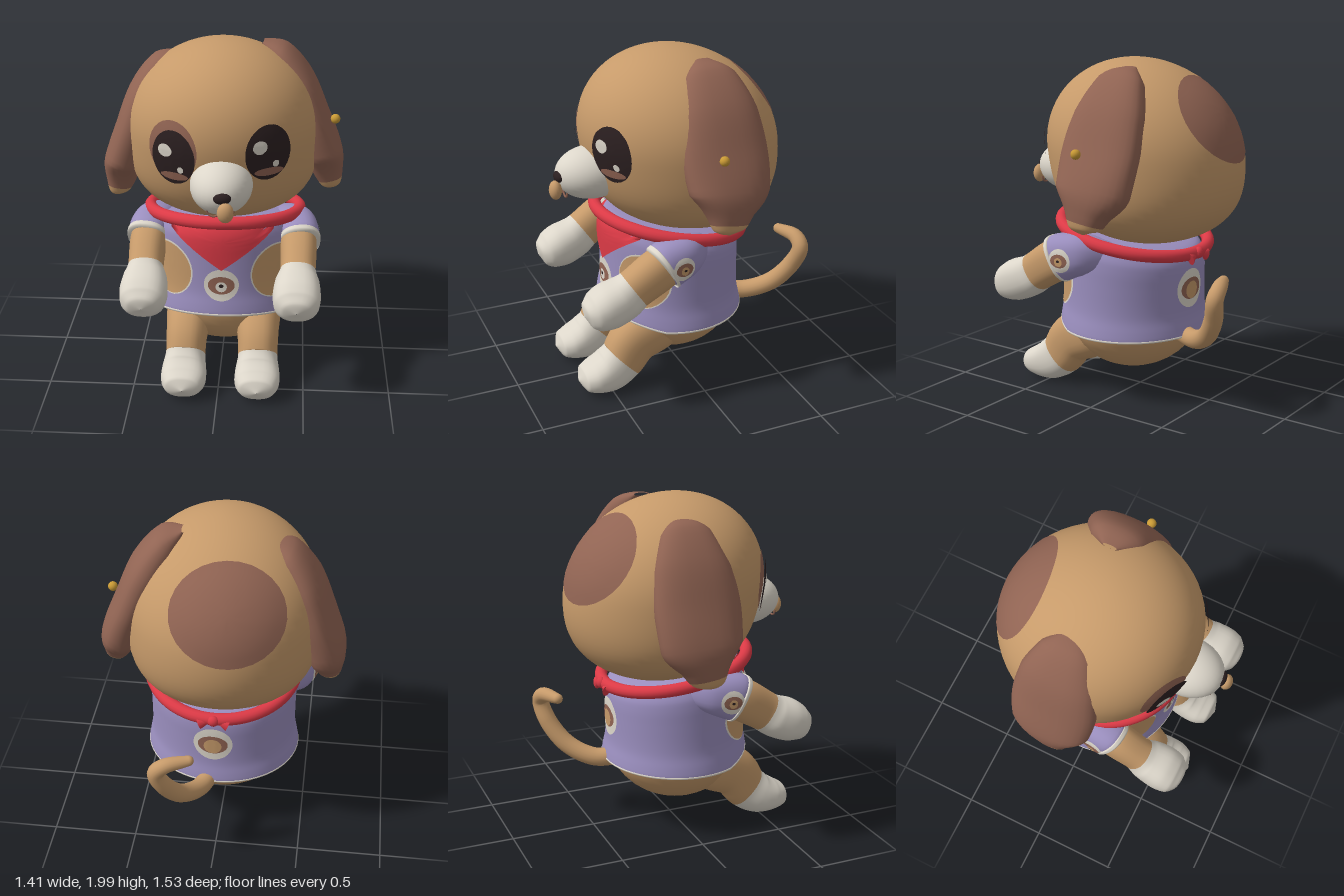
import * as THREE from 'three';
import { mergeVertices } from 'three/addons/utils/BufferGeometryUtils.js';

const V = (x, y, z) => new THREE.Vector3(x, y, z);

export function createModel() {
  const root = new THREE.Group();
  root.name = 'plushPuppy';
  const paint = (name, color) => {
    const m = new THREE.MeshStandardMaterial({ color });
    m.name = name;
    return m;
  };
  const tan = paint('tan fur', 0xc69a6a);
  const brown = paint('brown fur', 0x916453);
  const white = paint('off white', 0xdcd6ca);
  const purple = paint('lilac cloth', 0x9b8fbf);
  const red = paint('red cloth', 0xdc3a46);
  const dark = paint('dark brown', 0x2c2021);
  const gold = paint('gold', 0xc99a35);

  const add = (name, geometry, material) => {
    const mesh = new THREE.Mesh(geometry, material);
    mesh.name = name;
    root.add(mesh);
    return mesh;
  };

  const ellipsoid = (c, r, w = 32, h = 24) =>
    new THREE.SphereGeometry(1, w, h).scale(...r).translate(...c);

  // Moves every vertex by a rule and smooths the result
  const deform = (geometry, rule) => {
    geometry.deleteAttribute('uv');
    geometry.deleteAttribute('normal');
    const g = mergeVertices(geometry, 1e-5);
    const p = g.attributes.position;
    for (let i = 0; i < p.count; i++) {
      const v = V().fromBufferAttribute(p, i);
      rule(v);
      p.setXYZ(i, v.x, v.y, v.z);
    }
    g.computeVertexNormals();
    return g;
  };

  // Skin over rounded sections [x, y, z, half width, half depth]; t0..t1 picks a stretch
  const loft = (rows, side = 1, t0 = 0, t1 = 1, rings = 28, segs = 28) => {
    const path = new THREE.CatmullRomCurve3(rows.map(r => V(r[0] * side, r[1], r[2])));
    const size = new THREE.CatmullRomCurve3(rows.map(r => V(r[3], r[4], 0)));
    const pos = [], idx = [];
    const soft = c => Math.sign(c) * Math.abs(c) ** 0.85;
    for (let i = 0; i <= rings; i++) {
      const t = t0 + (t1 - t0) * i / rings;
      const c = path.getPoint(t), s = size.getPoint(t), T = path.getTangent(t);
      const B = V(1, 0, 0).addScaledVector(T, -T.x).normalize();
      const N = V().crossVectors(T, B);
      for (let j = 0; j < segs; j++) {
        const a = j / segs * Math.PI * 2;
        const p = c.clone().addScaledVector(B, Math.max(s.x, 0.001) * soft(Math.cos(a)))
          .addScaledVector(N, Math.max(s.y, 0.001) * soft(Math.sin(a)));
        pos.push(p.x, p.y, p.z);
        if (i < rings) {
          const q = i * segs + j, r = i * segs + (j + 1) % segs;
          idx.push(q, r, q + segs, r, r + segs, q + segs);
        }
      }
    }
    const g = new THREE.BufferGeometry();
    g.setAttribute('position', new THREE.Float32BufferAttribute(pos, 3));
    g.setIndex(idx);
    g.computeVertexNormals();
    return g;
  };

  // Thin painted patch laid on a target mesh, seen along -n; sides = 3 gives a triangle
  const ray = new THREE.Raycaster();
  const patch = (name, target, c, n, rx, ry, off, material, sides = 0) => {
    const out = V(...n).normalize();
    const right = V(0, 1, 0).cross(out).normalize();
    const up = out.clone().cross(right);
    const rings = 6, segs = 30, pos = [], idx = [];
    let last = V(...c);
    const drop = (u, v) => {
      const from = V(...c).addScaledVector(right, u).addScaledVector(up, v).addScaledVector(out, 2);
      ray.set(from, out.clone().negate());
      const hit = ray.intersectObject(target)[0];
      if (hit) last = hit.point.clone().addScaledVector(hit.face.normal, off);
      pos.push(last.x, last.y, last.z);
    };
    drop(0, 0);
    for (let i = 1; i <= rings; i++) for (let j = 0; j < segs; j++) {
      const a = j / segs * Math.PI * 2, w = Math.PI / sides;
      const k = (sides ? Math.cos(w) / Math.cos(a % (2 * w) - w) : 1) * i / rings;
      drop(rx * k * Math.cos(a - Math.PI / 2), ry * k * Math.sin(a - Math.PI / 2));
      const j2 = (j + 1) % segs, o = 1 + (i - 1) * segs;
      if (i === 1) idx.push(0, 1 + j, 1 + j2);
      else idx.push(o + j - segs, o + j, o + j2, o + j - segs, o + j2, o + j2 - segs);
    }
    const g = new THREE.BufferGeometry();
    g.setAttribute('position', new THREE.Float32BufferAttribute(pos, 3));
    g.setIndex(idx);
    g.computeVertexNormals();
    return add(name, g, material);
  };

  // Head with full cheeks, leaning slightly forward towards the crown
  const head = add('head', deform(ellipsoid([0, 1.47, -0.04], [0.56, 0.53, 0.58], 56, 40), v => {
    const low = Math.max(0, (1.47 - v.y) / 0.53) ** 2;
    v.x *= 1 + 0.42 * low;
    v.z = v.z * (1 + (v.z > 0 ? 0.36 : 0.14) * low) + 0.15 * (v.y - 1.47);
  }), tan);
  patch('headBackPatch', head, [-0.07, 1.68, -0.48], [-0.13, 0.5, -0.85], 0.315, 0.285, 0.004, brown);
  patch('eyePatch', head, [-0.245, 1.5, 0], [0, 0, 1], 0.135, 0.17, 0.004, brown);

  // Eyes
  for (const [x, y] of [[-0.235, 1.465], [0.262, 1.5]]) {
    const dot = (name, dx, dy, rx, ry, off, m) =>
      patch(name, head, [x + dx, y + dy, 0], [0, 0, 1], rx, ry, off, m);
    dot('eye', 0, 0, 0.117, 0.157, 0.016, dark);
    dot('eyeLowerGlow', 0.005, -0.105, 0.075, 0.024, 0.02, brown);
    dot('eyeHighlight', -0.042, 0.042, 0.037, 0.037, 0.021, white);
    dot('eyeSmallHighlight', 0.04, -0.06, 0.016, 0.02, 0.022, white);
  }

  // Muzzle, nose, mouth and tongue
  add('muzzle', ellipsoid([0.02, 1.32, 0.5], [0.172, 0.152, 0.215]), white);
  add('nose', ellipsoid([0.035, 1.325, 0.7], [0.05, 0.033, 0.03], 20, 14), dark);
  add('tongue', ellipsoid([0.055, 1.255, 0.73], [0.045, 0.056, 0.036], 20, 14), tan);
  for (const x of [-0.012, 0.06]) {
    add('mouthLine', new THREE.TorusGeometry(0.036, 0.006, 6, 14, Math.PI)
      .rotateZ(Math.PI).translate(x, 1.245, 0.675), brown);
  }

  // Ears with tan tips; the right one hangs lower and wider
  for (const s of [1, -1]) {
    const rows = [
      [0.22, 1.96, -0.09, 0.01, 0.04], [0.31, 1.885, -0.09, 0.08, 0.15],
      [0.425, 1.71, -0.095, 0.105, 0.225], [0.515, 1.5, -0.095, 0.105, 0.25],
      [0.585, 1.31, -0.095, 0.11, 0.235], [0.615, 1.19, -0.08, 0.09, 0.14],
      [0.635, 1.11, -0.07, 0.06, 0.09], [0.64, 1.08, -0.07, 0.005, 0.005],
    ].map((r, i) => s > 0 ? r
      : [r[0] + 0.045 - 0.01 * i, r[1] - 0.06, r[2] + 0.04, r[3], r[4]]);
    add('ear', loft(rows, s, 0, 0.8), brown);
    add('earTip', loft(rows, s, 0.8, 1, 12), tan);
  }
  add('earring', ellipsoid([0.645, 1.52, -0.03], [0.028, 0.028, 0.028], 16, 12), gold);

  // Body and shirt; the shirt rises to the front at neck and hem
  add('body', ellipsoid([0.012, 0.5, 0.03], [0.425, 0.35, 0.397]), tan);
  const rise = v => {
    const t = THREE.MathUtils.clamp((v.y - 0.41) / 0.6, 0, 1);
    v.y += 0.19 * v.z * t + 0.25 * Math.max(0, v.z - 0.22) * (1 - t);
  };
  const profile = [[0.84, 0.44], [0.97, 0.415], [1, 0.42], [0.985, 0.47], [0.955, 0.54], [0.945, 0.62],
    [0.945, 0.74], [0.945, 0.84], [0.92, 0.91], [0.82, 0.965], [0.5, 0.98]];
  const curve = new THREE.SplineCurve(profile.map(p => new THREE.Vector2(...p)));
  const shirt = add('shirt', deform(new THREE.LatheGeometry(curve.getPoints(40), 56)
    .scale(0.465, 1, 0.432).translate(0.013, 0, 0.03), rise), purple);
  add('shirtHem', deform(new THREE.TorusGeometry(1, 0.017, 8, 56).rotateX(Math.PI / 2)
    .scale(0.46, 0.5, 0.428).translate(0.013, 0.418, 0.03), rise), white);
  for (const s of [1, -1]) {
    const c = [0.015 + s * 0.29, 0.72, 0.3], n = [s * 0.5, 0, 1];
    patch('sidePanelTrim', shirt, c, n, 0.16, 0.17, 0.003, white);
    patch('sidePanel', shirt, c, n, 0.152, 0.162, 0.007, tan);
  }

  // Round badge with a small bear face
  const badge = (target, c, n, r, snout, size) => {
    const low = [c[0], c[1] - r * 0.08, c[2]];
    patch('badge', target, c, n, r, r, 0.005, white);
    patch('badgeFace', target, c, n, r * 0.76, r * 0.56, 0.009, brown);
    patch('badgeSnout', target, low, n, r * size, r * size, 0.012, snout);
    if (n[2] >= 0) patch('badgeNose', target, c, n, r * 0.13, r * 0.11, 0.015, dark);
  };
  badge(shirt, [0.015, 0.665, 0], [0, 0, 1], 0.1, white, 0.32);
  badge(shirt, [0.03, 0.69, 0], [0, 0, -1], 0.115, tan, 0.45);

  // Neckerchief: band, front triangle, clasp and knot behind
  add('neckBand', new THREE.TorusGeometry(0.44, 0.037, 14, 64).rotateX(Math.PI / 2)
    .rotateX(-0.19).translate(0.013, 0.985, 0.03), red);
  patch('neckerchief', shirt, [0.015, 0.935, 0], [0, 0, 1], 0.4, 0.173, 0.012, red, 3);
  add('clasp', ellipsoid([0.02, 0.915, 0.435], [0.014, 0.027, 0.012], 12, 10), white);
  add('knot', ellipsoid([0.02, 0.905, -0.425], [0.034, 0.034, 0.028], 14, 10), red);
  for (const s of [1, -1]) {
    add('knotTail', new THREE.ConeGeometry(0.036, 0.08, 12).scale(1, 1, 0.6)
      .rotateZ(s * 1.2).translate(0.02 + s * 0.045, 0.893, -0.425), red);
  }

  // Sleeves, arms with paws, legs with feet
  for (const s of [1, -1]) {
    const limb = (name, rows, material, t0 = 0, t1 = 1) =>
      add(name, loft(rows, s, t0, t1).translate(0.016, 0, 0), material);
    const sleeve = limb('sleeve', [
      [0.3, 0.92, -0.03, 0.05, 0.05], [0.35, 0.91, 0.02, 0.09, 0.09], [0.41, 0.9, 0.12, 0.125, 0.125],
      [0.44, 0.872, 0.23, 0.117, 0.14], [0.442, 0.862, 0.25, 0.1, 0.12]], purple);
    limb('sleeveTrim', [
      [0.44, 0.872, 0.23, 0.1, 0.12], [0.441, 0.868, 0.238, 0.121, 0.144],
      [0.442, 0.862, 0.25, 0.119, 0.142], [0.443, 0.857, 0.258, 0.09, 0.11]], white);
    badge(sleeve, [0, 0.88, 0.165], [s, 0, 0], 0.068, tan, 0.36);
    const arm = [
      [0.42, 0.91, 0.15, 0.1, 0.1], [0.435, 0.845, 0.28, 0.105, 0.125], [0.435, 0.765, 0.41, 0.1, 0.118],
      [0.432, 0.72, 0.48, 0.124, 0.122], [0.43, 0.685, 0.57, 0.135, 0.126],
      [0.43, 0.66, 0.65, 0.125, 0.105], [0.43, 0.65, 0.698, 0.08, 0.065],
      [0.43, 0.645, 0.715, 0.002, 0.002]];
    limb('arm', arm, tan, 0, 0.31);
    limb('paw', arm, white, 0.31, 1);
    const leg = [
      [0.18, 0.42, 0.05, 0.13, 0.13], [0.2, 0.365, 0.21, 0.14, 0.16], [0.21, 0.295, 0.34, 0.122, 0.15],
      [0.213, 0.19, 0.42, 0.116, 0.137], [0.214, 0.137, 0.5, 0.128, 0.126],
      [0.214, 0.115, 0.59, 0.13, 0.096], [0.214, 0.108, 0.66, 0.1, 0.066],
      [0.214, 0.106, 0.695, 0.002, 0.002]];
    limb('leg', leg, tan, 0, 0.43);
    limb('foot', leg, white, 0.43, 1);
  }

  // Tail, thinning as it curls up and hooks sideways
  const tail = new THREE.CatmullRomCurve3([
    V(0.04, 0.42, -0.3), V(0.1, 0.41, -0.45), V(0.19, 0.48, -0.59), V(0.27, 0.62, -0.685),
    V(0.31, 0.74, -0.715), V(0.26, 0.79, -0.71), V(0.13, 0.8, -0.66)]);
  const tube = new THREE.TubeGeometry(tail, 48, 0.055, 18);
  const p = tube.attributes.position;
  for (let i = 0; i < p.count; i++) {
    const t = Math.floor(i / 19) / 48, c = tail.getPointAt(t);
    const v = V().fromBufferAttribute(p, i).sub(c).multiplyScalar(1 - 0.45 * t ** 5).add(c);
    p.setXYZ(i, v.x, v.y, v.z);
  }
  add('tail', tube, tan);
  add('tailTip', ellipsoid([0.13, 0.8, -0.66], [0.03, 0.03, 0.03], 18, 14), tan);

  return root;
}
